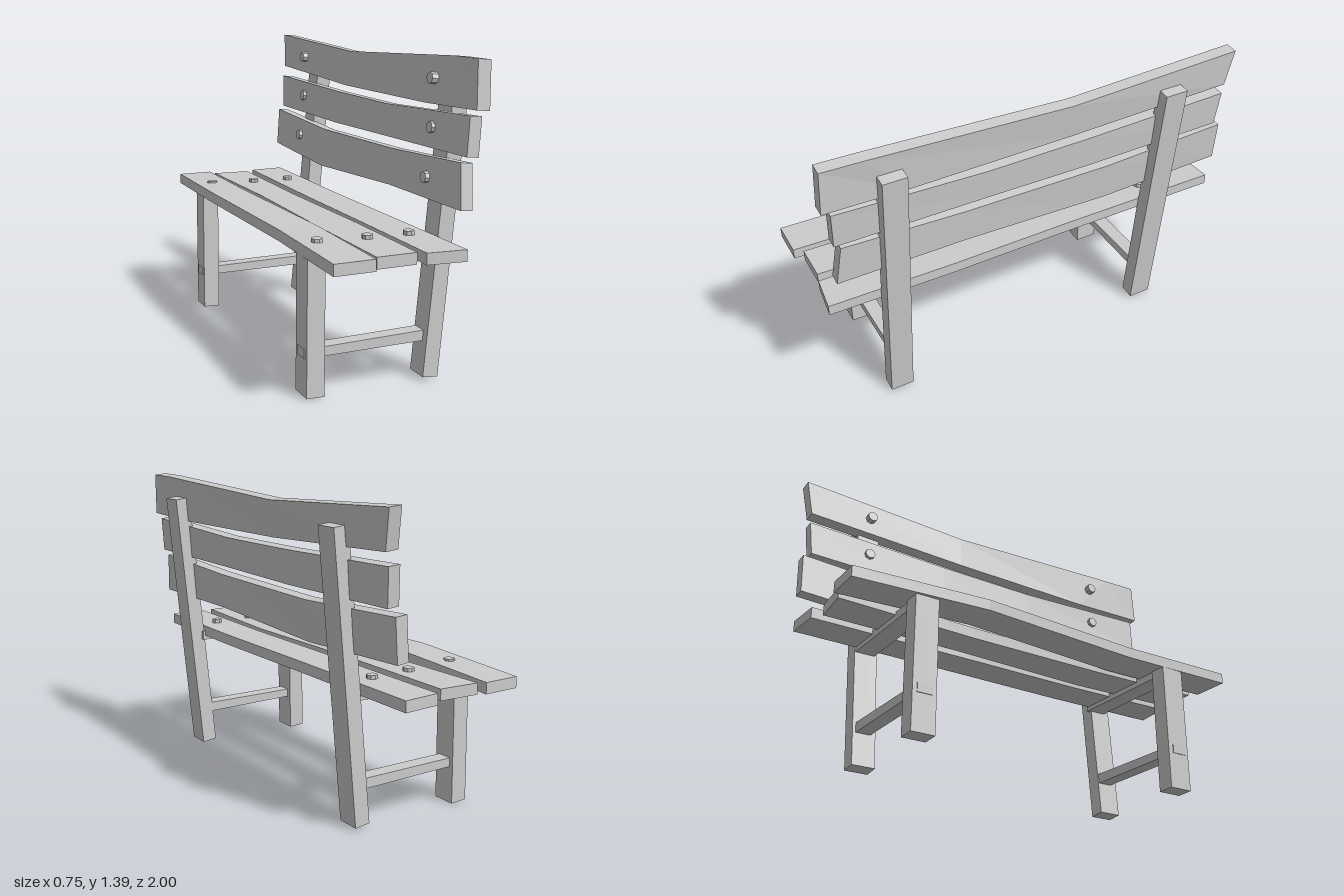
import * as THREE from 'three';

const material = new THREE.MeshStandardMaterial({ color: 0xcccccc, flatShading: true, side: THREE.DoubleSide });

// Lofts four-cornered sections (each corner [x, y, z]) into a closed solid.
function loft(name, sections) {
  const pos = [];
  const quad = (a, b, c, d) => pos.push(...a, ...b, ...c, ...a, ...c, ...d);
  for (let i = 0; i < sections.length - 1; i++) {
    const s = sections[i], t = sections[i + 1];
    for (let k = 0; k < 4; k++) {
      const n = (k + 1) % 4;
      quad(s[k], s[n], t[n], t[k]);
    }
  }
  const first = sections[0], last = sections[sections.length - 1];
  quad(first[3], first[2], first[1], first[0]);
  quad(...last);
  const geo = new THREE.BufferGeometry();
  geo.setAttribute('position', new THREE.Float32BufferAttribute(pos, 3));
  geo.computeVertexNormals();
  const mesh = new THREE.Mesh(geo, material);
  mesh.name = name;
  return mesh;
}

// Straight beam: side outline in x/y (counter-clockwise), running from z0 to z1.
const beam = (name, outline, z0, z1) =>
  loft(name, [z0, z1].map(z => outline.map(([x, y]) => [x, y, z])));

// Seat plank stations: [z at front edge, z at rear edge, front x, rear x, bottom y]
const seatPlank = (name, stations) =>
  loft(name, stations.map(([zf, zr, x0, x1, y]) => [
    [x0, y, zf], [x1, y, zr], [x1, y + 0.05, zr], [x0, y + 0.05, zf],
  ]));

// Back plank stations: [z bottom, z top, bottom y, top y, bottom x, top x]
const backPlank = (name, thick, stations) =>
  loft(name, stations.map(([zb, zt, y0, y1, x0, x1]) => [
    [x0, y0, zb], [x0 + thick, y0 - 0.005, zb], [x1 + thick, y1 - 0.005, zt], [x1, y1, zt],
  ]));

function bolt(name, x, y, z, tilt) {
  const mesh = new THREE.Mesh(new THREE.CylinderGeometry(0.025, 0.025, 0.04, 8), material);
  mesh.name = name;
  mesh.position.set(x, y, z);
  mesh.rotation.z = tilt;
  return mesh;
}

export function createModel() {
  const bench = new THREE.Group();
  bench.name = 'bench';

  // Seat planks, slightly warped along their length
  bench.add(
    seatPlank('frontSeatPlank', [
      [-1, -1, -0.35, -0.18, 0.595], [-0.37, -0.37, -0.375, -0.205, 0.61],
      [0.42, 0.42, -0.345, -0.165, 0.597], [1, 1, -0.36, -0.18, 0.595],
    ]),
    seatPlank('middleSeatPlank', [
      [-0.97, -0.955, -0.16, 0.025, 0.59], [-0.3, -0.3, -0.14, 0.02, 0.588],
      [0.4, 0.4, -0.147, 0.038, 0.585], [0.96, 0.96, -0.157, 0.022, 0.59],
    ]),
    seatPlank('rearSeatPlank', [
      [-0.99, -1, 0.07, 0.24, 0.588], [-0.2, -0.2, 0.065, 0.235, 0.585],
      [0.4, 0.4, 0.068, 0.24, 0.583], [0.97, 0.99, 0.06, 0.235, 0.585],
    ]),
  );

  // Backrest planks, bowed in height
  bench.add(
    backPlank('topBackPlank', 0.06, [
      [-0.96, -0.99, 1.22, 1.39, 0.26, 0.27], [-0.15, -0.15, 1.185, 1.35, 0.245, 0.265],
      [0.6, 0.8, 1.18, 1.39, 0.252, 0.268], [0.99, 0.98, 1.19, 1.39, 0.257, 0.262],
    ]),
    backPlank('middleBackPlank', 0.055, [
      [-0.95, -0.965, 1.0, 1.165, 0.243, 0.253], [-0.25, -0.25, 0.99, 1.145, 0.24, 0.252],
      [0.25, 0.25, 0.995, 1.14, 0.24, 0.252], [0.95, 0.95, 1.0, 1.165, 0.243, 0.253],
    ]),
    backPlank('lowerBackPlank', 0.055, [
      [-0.99, -0.99, 0.785, 0.975, 0.222, 0.235], [-0.37, -0.37, 0.755, 0.942, 0.212, 0.23],
      [0.35, 0.35, 0.785, 0.95, 0.22, 0.232], [0.95, 0.92, 0.785, 0.975, 0.222, 0.235],
    ]),
  );

  // Legs and rails at both ends
  const ends = [
    { side: 'left', rear: [0.64, 0.75], front: [0.62, 0.735], rail: [0.625, 0.72], low: [0.645, 0.715], bolt: 0.67 },
    { side: 'right', rear: [-0.705, -0.595], front: [-0.71, -0.6], rail: [-0.7, -0.607], low: [-0.69, -0.62], bolt: -0.66 },
  ];
  for (const e of ends) {
    const frame = new THREE.Group();
    frame.name = e.side + 'Frame';
    frame.add(
      beam('rearLeg', [[0.183, 0.016], [0.255, 0.008], [0.375, 1.284], [0.303, 1.292]], ...e.rear),
      beam('frontLeg', [[-0.355, 0.003], [-0.275, 0], [-0.27, 0.603], [-0.35, 0.603]], ...e.front),
      beam('seatRail', [[-0.34, 0.563], [0.25, 0.563], [0.25, 0.607], [-0.34, 0.6]], ...e.rail),
      beam('lowerRail', [[-0.357, 0.17], [0.22, 0.168], [0.22, 0.215], [-0.357, 0.21]], ...e.low),
    );
    // Bolts through the seat and the backrest
    for (const [x, y] of [[-0.28, 0.642], [-0.05, 0.635], [0.145, 0.633]])
      frame.add(bolt('seatBolt', x, y, e.bolt, 0));
    for (const [x, y] of [[0.25, 1.29], [0.252, 1.085], [0.227, 0.875]])
      frame.add(bolt('backBolt', x, y, e.bolt, Math.PI / 2 - 0.09));
    bench.add(frame);
  }
  return bench;
}
